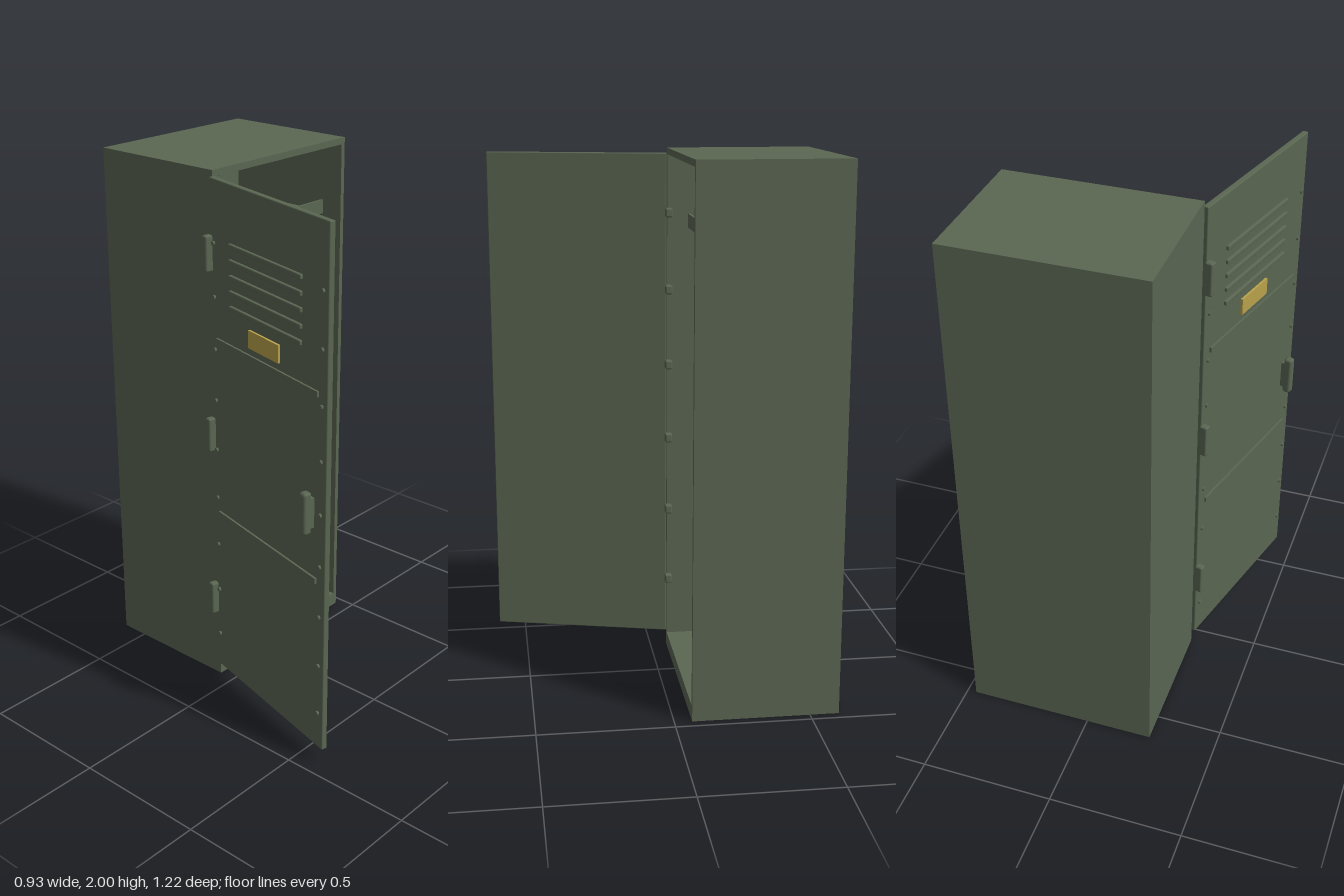
import * as THREE from 'three';
import { RoundedBoxGeometry } from 'three/addons/geometries/RoundedBoxGeometry.js';

const mat = (name, color) => {
  const m = new THREE.MeshStandardMaterial({ color });
  m.name = name;
  return m;
};

export function createModel() {
  const green = mat('olive green paint', 0x5a6652);
  const yellow = mat('yellow label', 0xb8a24a);
  const brown = mat('brown paper', 0x87644b);

  const model = new THREE.Group();
  model.name = 'locker';

  const add = (parent, name, geometry, material, x, y, z) => {
    const mesh = new THREE.Mesh(geometry, material);
    mesh.name = name;
    mesh.position.set(x, y, z);
    parent.add(mesh);
    return mesh;
  };
  // Box given by its minimum and maximum corners; r rounds the edges
  const box = (parent, name, material, [x0, x1], [y0, y1], [z0, z1], r = 0) => {
    const size = [x1 - x0, y1 - y0, z1 - z0];
    const g = r ? new RoundedBoxGeometry(...size, 2, r) : new THREE.BoxGeometry(...size);
    return add(parent, name, g, material, (x0 + x1) / 2, (y0 + y1) / 2, (z0 + z1) / 2);
  };
  // Short round stud pointing along +z
  const stud = (parent, name, radius, length, x, y, z) => {
    const g = new THREE.CylinderGeometry(radius, radius, length, 12).rotateX(Math.PI / 2);
    return add(parent, name, g, green, x, y, z + length / 2);
  };

  // Cabinet shell
  const cabinet = new THREE.Group();
  cabinet.name = 'cabinet';
  model.add(cabinet);
  const back = -0.608, front = -0.065, wall = -0.59;
  const L = -0.252, R = 0.465, innerL = -0.234, innerR = 0.447;
  box(cabinet, 'rightWall', green, [L, innerL], [0, 2], [back, front]);
  box(cabinet, 'leftWall', green, [innerR, R], [0, 2], [back, front]);
  box(cabinet, 'backWall', green, [innerL, innerR], [0, 2], [back, wall]);
  box(cabinet, 'floor', green, [innerL, innerR], [0, 0.055], [wall, front]);
  box(cabinet, 'roof', green, [innerL, innerR], [1.976, 2], [wall, front]);

  // Shelf with raised front lip, and the rail with hooks behind it
  box(cabinet, 'shelf', green, [-0.225, 0.437], [1.702, 1.712], [wall, -0.145]);
  box(cabinet, 'shelfLip', green, [-0.225, 0.437], [1.702, 1.755], [-0.153, -0.143]);
  box(cabinet, 'hookRail', green, [-0.225, 0.437], [1.842, 1.867], [wall, -0.572]);
  for (const x of [-0.09, 0.105, 0.3]) stud(cabinet, 'hook', 0.01, 0.04, x, 1.817, wall);

  // Label and paper notice on the back wall
  box(cabinet, 'innerLabel', yellow, [0.038, 0.172], [1.05, 1.1], [wall, wall + 0.008]);
  box(cabinet, 'notice', brown, [-0.165, 0.03], [0.17, 0.42], [wall, wall + 0.004]);

  // Frame clips along the hinge side
  for (let i = 0; i < 6; i++) {
    const y = 0.295 + i * 0.293;
    box(cabinet, 'frameClip', green, [-0.24, -0.207], [y - 0.017, y + 0.017], [-0.083, -0.056], 0.006);
  }

  // Door, built closed along +x with its outside at +z, then swung open
  const door = new THREE.Group();
  door.name = 'door';
  door.position.set(-0.245, 0, -0.063);
  door.rotation.y = THREE.MathUtils.degToRad(-104.6);
  model.add(door);
  const face = 0.022;
  box(door, 'doorPanel', green, [0, 0.695], [0.06, 1.98], [0, face], 0.004);

  for (let i = 0; i < 5; i++) {
    const y = 1.77 - i * 0.055;
    box(door, 'louver', green, [0.13, 0.555], [y - 0.009, y + 0.009], [face - 0.004, face + 0.01], 0.004);
  }
  for (const y of [1.405, 0.725])
    box(door, 'reinforcingStrip', green, [0.04, 0.65], [y - 0.01, y + 0.01], [face, face + 0.008]);
  box(door, 'namePlate', yellow, [0.25, 0.43], [1.442, 1.506], [face, face + 0.009]);

  for (const y of [1.715, 1.035, 0.355])
    box(door, 'hinge', green, [-0.01, 0.018], [y - 0.065, y + 0.065], [face - 0.004, 0.05], 0.007);

  for (const x of [0.028, 0.668])
    for (let i = 0; i < 9; i++) stud(door, 'rivet', 0.008, 0.008, x, 1.755 - i * 0.194, face);

  // Pull handle: narrow base with a rounded grip
  box(door, 'handleBase', green, [0.612, 0.632], [0.92, 1.03], [face, 0.045]);
  box(door, 'handleGrip', green, [0.605, 0.638], [0.9, 1.055], [0.035, 0.068], 0.01);

  return model;
}
